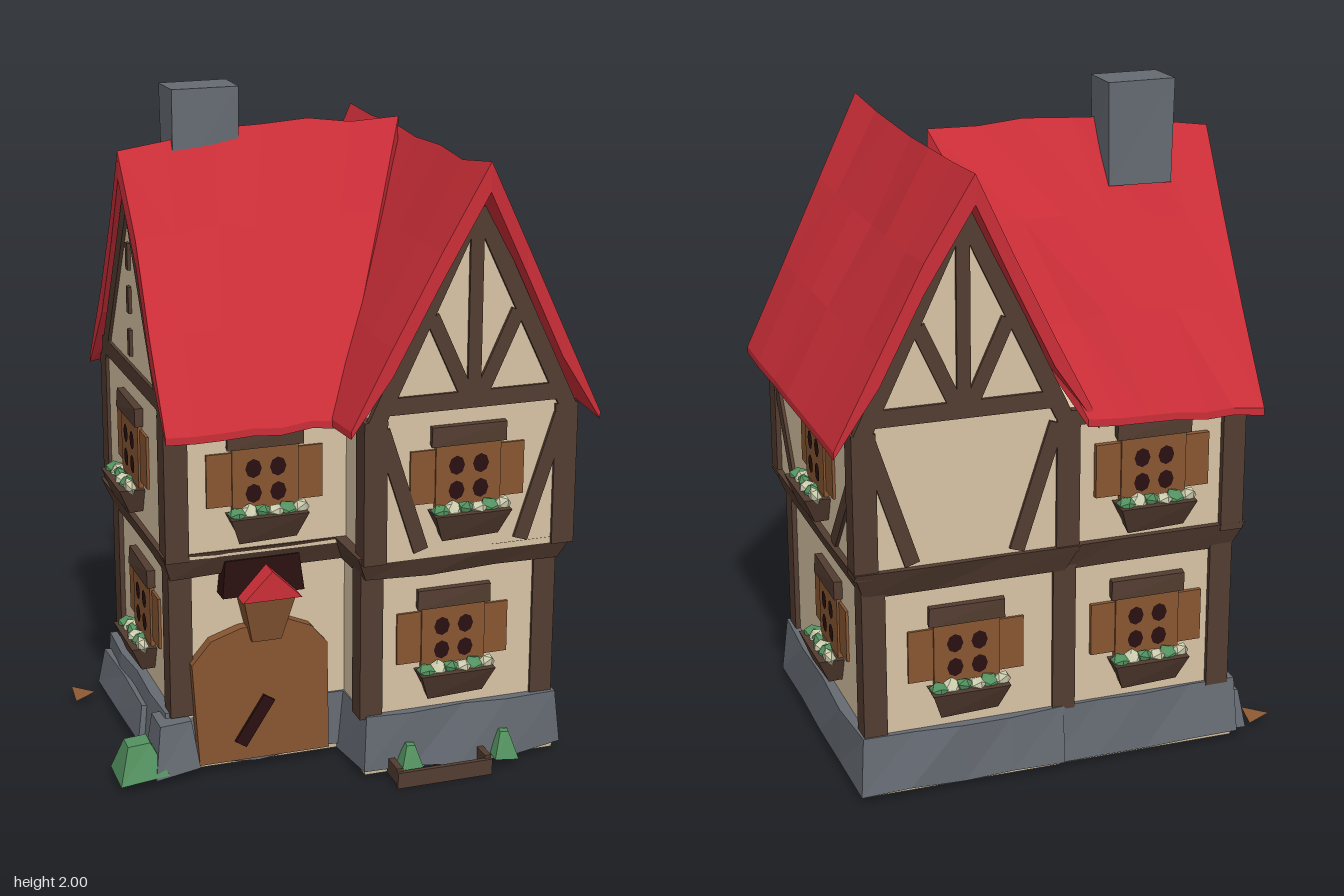
import * as THREE from 'three';

const material = (name, color, side = THREE.FrontSide) => {
  const m = new THREE.MeshStandardMaterial({ color, flatShading: true, side });
  m.name = name;
  return m;
};

// Repeatable small offset for a hand-hewn look
const noise = (x, y, z) => {
  const n = Math.sin(x * 127.1 + y * 311.7 + z * 74.7) * 43758.5453;
  return (n - Math.floor(n)) * 2 - 1;
};

export function createModel() {
  const house = new THREE.Group();
  house.name = 'house';
  const red = material('roofRed', 0xcc2e38, THREE.DoubleSide);
  const cream = material('plasterCream', 0xd8c4a4);
  const timber = material('timberDark', 0x533c30);
  const wood = material('woodBrown', 0x885632);
  const stone = material('stoneGrey', 0x666b73);
  const green = material('leafGreen', 0x549260);
  const dark = material('paneDark', 0x2a0f10);
  const pale = material('flowerPale', 0xccccae);

  const add = (parent, name, geo, mat, x = 0, y = 0, z = 0) => {
    const mesh = new THREE.Mesh(geo, mat);
    mesh.name = name;
    mesh.position.set(x, y, z);
    parent.add(mesh);
    return mesh;
  };

  // Box between limits; its top can flare by grow, and its vertices can wobble
  const block = (name, mat, [x0, x1], [y0, y1], [z0, z1], grow = 0, seg = 1, wobble = 0, parent = house) => {
    const geo = new THREE.BoxGeometry(x1 - x0, y1 - y0, z1 - z0, seg, 1, seg);
    const p = geo.attributes.position;
    for (let i = 0; i < p.count; i++) {
      const x = p.getX(i), y = p.getY(i), z = p.getZ(i), g = y > 0 ? grow : 0;
      const w = wobble * noise(x, y, z);
      p.setXYZ(i, x * (1 + 2 * g / (x1 - x0)) + w, y + (y < 0 ? w : 0), z * (1 + 2 * g / (z1 - z0)) - w);
    }
    geo.computeVertexNormals();
    return add(parent, name, geo, mat, (x0 + x1) / 2, (y0 + y1) / 2, (z0 + z1) / 2);
  };

  // Stone footing and floor
  block('mainFooting', stone, [0, 0.63], [0.022, 0.2], [-0.465, 0.435], -0.01, 4, 0.01);
  block('wingFooting', stone, [-0.565, 0.05], [0.025, 0.2], [-0.46, 0.23], -0.015, 4, 0.01);
  block('mainFloor', cream, [0.01, 0.615], [0.012, 0.05], [-0.45, 0.42], 0.005);
  block('wingFloor', cream, [-0.545, 0.02], [0.012, 0.05], [-0.445, 0.215], 0.005);
  block('floorHatch', dark, [-0.4, -0.2], [0.007, 0.014], [0.05, 0.2]);

  // Ground floor walls and flared jetty beams
  block('mainLowerWall', cream, [0.015, 0.595], [0.18, 0.66], [-0.435, 0.405]);
  block('wingLowerWall', cream, [-0.515, 0.03], [0.18, 0.66], [-0.43, 0.215]);
  block('mainJetty', timber, [0, 0.605], [0.635, 0.72], [-0.445, 0.435], 0.035, 3, 0.005);
  block('wingJetty', timber, [-0.525, 0], [0.635, 0.72], [-0.44, 0.24], 0.033, 3, 0.003);

  // Upper storeys with their gables
  const gableBlock = (name, a, b, mid, top, depth) => {
    const s = new THREE.Shape([[a, 0.7], [b, 0.7], [b, 1.12], [mid, top], [a, 1.12]].map(p => new THREE.Vector2(...p)));
    return add(house, name, new THREE.ExtrudeGeometry(s, { depth, bevelEnabled: false }), cream);
  };
  gableBlock('mainUpperWall', 0, 0.62, 0.31, 1.77, 0.93).position.z = -0.46;
  const wingWall = gableBlock('wingUpperWall', -0.27, 0.45, 0.1, 1.73, 0.6);
  wingWall.rotation.y = Math.PI / 2;
  wingWall.position.x = -0.54;

  // Corner posts
  const post = (x, z, y0, y1) => block('cornerPost', timber, [x - 0.035, x + 0.035], [y0, y1], [z - 0.035, z + 0.035]);
  for (const [x, z] of [[0.03, 0.38], [0.575, 0.38], [0.575, -0.41], [0.0, -0.41], [-0.495, -0.41], [-0.495, 0.19]]) post(x, z, 0.19, 0.66);
  for (const [x, z] of [[0.015, 0.445], [0.6, 0.445], [0.6, -0.435], [0.0, -0.435], [-0.515, -0.435], [-0.515, 0.245]]) post(x, z, 0.7, 1.13);

  // Roof: a thick folded sheet, thin at the eaves, lofted along its ridge
  const roof = (name, place, steps) => {
    const fold = [-1, -0.66, -0.33, 0, 0.33, 0.66, 1], m = fold.length, pos = [], index = [];
    for (let i = 0; i <= steps; i++)
      for (const inner of [0, 1])
        for (const s of fold) {
          const [x, y, z] = place(s, i / steps);
          const w = 0.011 * noise(s, i, steps);
          const drop = inner * (Math.abs(s) === 1 ? 0.022 : 0.085);
          pos.push(x + w, y - drop + w, z - w);
        }
    const quad = (a, b, c, d) => index.push(a, b, c, a, c, d);
    const n = 2 * m;
    for (let i = 0; i < steps; i++) {
      const r = i * n, q = r + n;
      for (let k = 0; k < m - 1; k++) {
        quad(r + k, q + k, q + k + 1, r + k + 1);
        quad(r + m + k, r + m + k + 1, q + m + k + 1, q + m + k);
      }
      quad(r, r + m, q + m, q);
      quad(r + m - 1, q + m - 1, q + n - 1, r + n - 1);
    }
    for (const r of [0, steps * n])
      for (let k = 0; k < m - 1; k++) quad(r + k, r + k + 1, r + m + k + 1, r + m + k);
    let geo = new THREE.BufferGeometry();
    geo.setAttribute('position', new THREE.Float32BufferAttribute(pos, 3));
    geo.setIndex(index);
    geo = geo.toNonIndexed();
    geo.computeVertexNormals();
    add(house, name, geo, red);
  };
  roof('mainRoof', (s, u) => {
    const h = 1 - Math.abs(s);
    return [0.31 + 0.385 * s, 1.105 + 0.755 * h - 0.02 * Math.sin(Math.PI * u) * h, (2 * u - 1) * (0.505 + 0.055 * h * h)];
  }, 6);
  roof('wingRoof', (s, u) => {
    const h = 1 - Math.abs(s), taper = s < 0 ? 1 - 0.12 * u * (1 - h) : 1;
    return [THREE.MathUtils.lerp(-0.56, -0.05 + 0.34 * h, u), 1.105 + (0.735 + 0.05 * Math.sin(2.3 * u)) * h, -0.105 + 0.455 * s * taper];
  }, 6);

  // Chimney
  block('chimney', stone, [-0.405, -0.215], [1.7, 2.0], [-0.215, -0.085], 0.004, 1, 0.008);

  // Flat wall frames: local x runs along the wall, local z points outwards
  const face = (name, angle, dist) => {
    const pivot = new THREE.Group(), g = new THREE.Group();
    pivot.name = name;
    pivot.rotation.y = angle;
    g.position.z = dist;
    pivot.add(g);
    house.add(pivot);
    return g;
  };
  const bar = (g, x0, y0, x1, y1, width = 0.045, mat = timber, name = 'timberBeam') => {
    const len = Math.hypot(x1 - x0, y1 - y0);
    const b = add(g, name, new THREE.BoxGeometry(len, width, 0.02), mat, (x0 + x1) / 2, (y0 + y1) / 2, 0);
    b.rotation.z = Math.atan2(y1 - y0, x1 - x0);
  };

  // Shuttered window with lintel and planted box, y is the pane centre
  const windowAt = (g, x, y) => {
    const w = new THREE.Group();
    w.name = 'window';
    w.position.set(x, y, 0);
    g.add(w);
    block('shutters', wood, [-0.175, 0.175], [-0.07, 0.09], [-0.01, 0.008], 0, 1, 0, w);
    block('windowFrame', wood, [-0.1, 0.1], [-0.1, 0.11], [-0.01, 0.014], 0, 1, 0, w);
    block('lintel', timber, [-0.115, 0.115], [0.105, 0.16], [-0.01, 0.022], 0, 1, 0.005, w);
    for (const px of [-0.037, 0.037])
      for (const py of [-0.035, 0.04]) {
        const pane = add(w, 'pane', new THREE.CircleGeometry(0.029, 8), dark, px, py, 0.017);
        pane.scale.x = 0.85;
      }
    block('windowBox', timber, [-0.085, 0.085], [-0.17, -0.09], [-0.02, 0.04], 0.032, 1, 0.006, w);
    for (let i = 0; i < 6; i++) {
      const leaf = add(w, 'boxPlant', new THREE.IcosahedronGeometry(0.026, 0), i % 2 ? pale : green, -0.095 + i * 0.038, -0.085, 0.04);
      leaf.scale.set(1.1, 0.75, 1.2);
      leaf.rotation.set(i, i * 2, 0);
    }
  };

  // Main gable framing: plate, rafters, king post, fanned struts, wall braces
  const gableFrame = (g, c) => {
    bar(g, c - 0.28, 1.17, c + 0.28, 1.17, 0.05);
    bar(g, c, 1.17, c, 1.72, 0.04);
    for (const s of [-1, 1]) {
      bar(g, c + s * 0.295, 1.12, c + s * 0.008, 1.72, 0.05);
      bar(g, c + s * 0.02, 1.18, c + s * 0.13, 1.42, 0.042);
      bar(g, c + s * 0.275, 1.1, c + s * 0.155, 0.73, 0.045);
    }
  };

  const frontUpper = face('frontUpperWall', 0, 0.47);
  gableFrame(frontUpper, 0.31);
  windowAt(frontUpper, 0.295, 0.94);
  windowAt(face('frontLowerWall', 0, 0.405), 0.285, 0.42);
  const wingFront = face('wingFrontWall', 0, 0.27);
  windowAt(wingFront, -0.25, 0.925);
  bar(wingFront, -0.53, 1.1, 0, 1.1, 0.03);

  const backUpper = face('backUpperWall', Math.PI, 0.46);
  gableFrame(backUpper, -0.31);
  windowAt(backUpper, 0.26, 0.925);
  bar(backUpper, 0, 1.1, 0.53, 1.1, 0.03);
  const backLower = face('backLowerWall', Math.PI, 0.435);
  windowAt(backLower, -0.3, 0.42);
  windowAt(backLower, 0.26, 0.42);

  const rightUpper = face('rightUpperWall', Math.PI / 2, 0.62);
  windowAt(rightUpper, 0.06, 0.93);
  bar(rightUpper, -0.43, 1.02, -0.22, 0.72, 0.045);
  bar(rightUpper, 0.41, 0.96, 0.22, 0.72, 0.045);
  bar(rightUpper, -0.44, 1.11, 0.44, 1.11, 0.03);
  windowAt(face('rightLowerWall', Math.PI / 2, 0.595), 0.07, 0.42);

  const leftUpper = face('leftUpperWall', -Math.PI / 2, 0.54);
  windowAt(leftUpper, -0.1, 0.93);
  bar(leftUpper, -0.44, 1.17, 0.25, 1.17, 0.05);
  bar(leftUpper, -0.435, 1.12, -0.108, 1.68, 0.05);
  bar(leftUpper, 0.255, 1.12, -0.092, 1.68, 0.05);
  for (const y of [1.22, 1.35, 1.48]) bar(leftUpper, -0.1, y, -0.1, y + 0.08, 0.025);
  windowAt(face('leftLowerWall', -Math.PI / 2, 0.515), -0.1, 0.42);

  // Arched door with bracket and small red hood
  const arch = new THREE.Shape([[-0.45, 0.035], [-0.045, 0.035], [-0.05, 0.38], [-0.1, 0.44], [-0.17, 0.47], [-0.32, 0.46], [-0.41, 0.43], [-0.47, 0.36]].map(p => new THREE.Vector2(...p)));
  add(house, 'door', new THREE.ExtrudeGeometry(arch, { depth: 0.05, bevelEnabled: false }), wood, 0, 0, 0.2);
  bar(face('doorHandle', 0, 0.25), -0.325, 0.09, -0.235, 0.23, 0.04, dark, 'handle');
  block('hoodBracket', wood, [-0.29, -0.2], [0.42, 0.57], [0.2, 0.27], 0.035);
  block('hoodRecess', dark, [-0.38, -0.13], [0.57, 0.68], [0.2, 0.275], -0.012);
  const hood = new THREE.Shape([[-0.09, 0], [0.09, 0], [0, 0.09]].map(p => new THREE.Vector2(...p)));
  add(house, 'doorHood', new THREE.ExtrudeGeometry(hood, { depth: 0.13, bevelEnabled: false }), red, -0.245, 0.57, 0.2);

  // Planter, bush, rocks and scraps on the ground
  block('planterFront', timber, [0.08, 0.38], [0, 0.05], [0.5, 0.515]);
  for (const x of [0.08, 0.36]) block('planterEnd', timber, [x, x + 0.02], [0.01, 0.06], [0.42, 0.505]);
  for (const x of [0.1, 0.4]) block('planterLeaf', green, [x, x + 0.08], [0.03, 0.11], [0.42, 0.49], -0.025, 1, 0.008);
  block('bush', green, [-0.7, -0.56], [0.025, 0.135], [0.15, 0.29], -0.04, 1, 0.015);
  block('rock', stone, [-0.585, -0.46], [0.03, 0.185], [0.13, 0.275], -0.02, 1, 0.012);
  block('rock', stone, [-0.595, -0.5], [0.03, 0.15], [-0.45, 0.05], -0.02, 2, 0.01);
  const scrap = add(house, 'woodScrap', new THREE.TetrahedronGeometry(0.055), wood, -0.66, 0.03, -0.38);
  scrap.scale.y = 0.4;
  return house;
}
